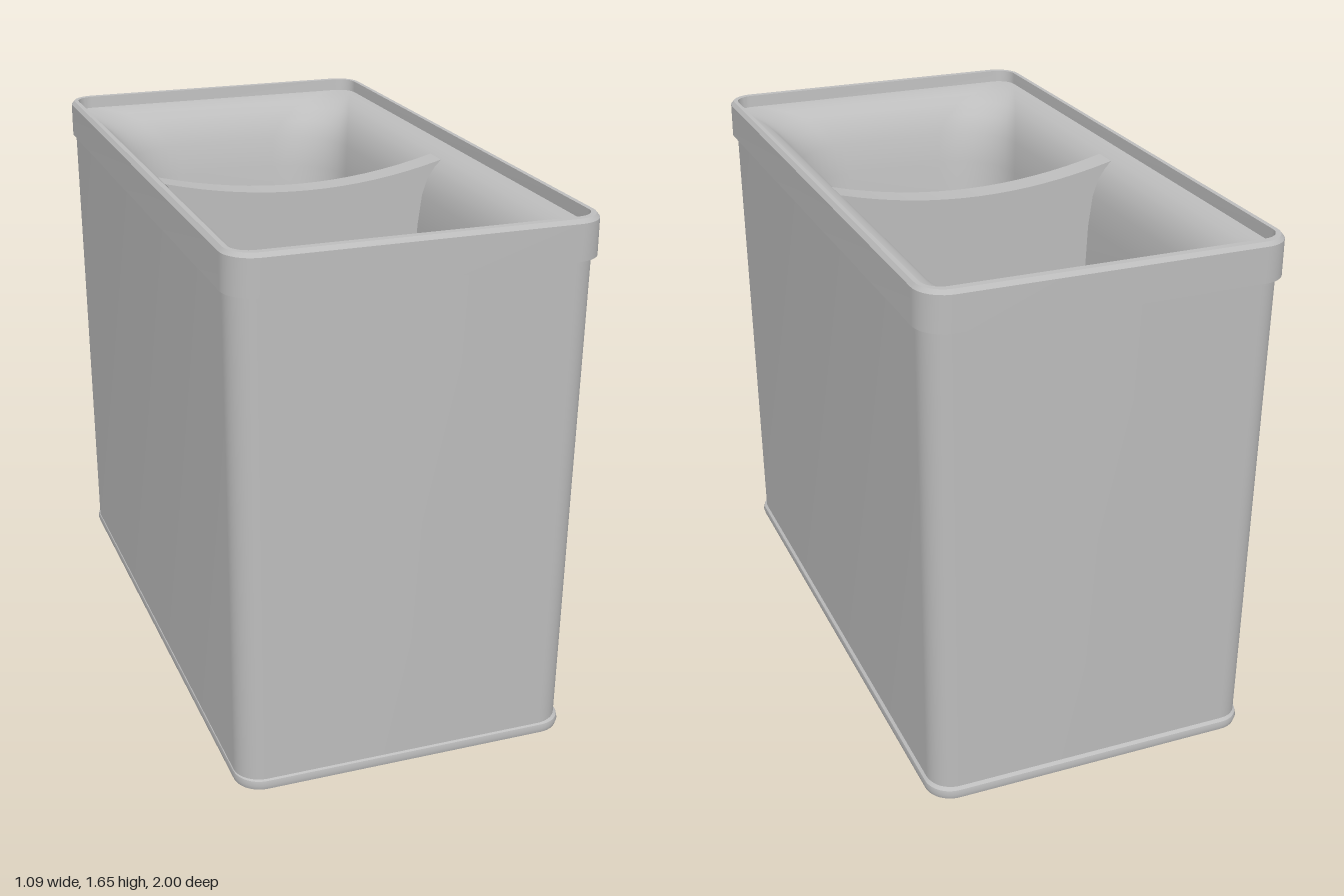
import * as THREE from 'three';
import { toCreasedNormals } from 'three/addons/utils/BufferGeometryUtils.js';

const CORNER = 10; // segments per rounded corner

// Skin rounded-rectangle sections: [y, half width, half length, corner radius, x shift, z shift]
function loft(sections) {
  const positions = [], index = [];
  const count = 4 * (CORNER + 1);
  for (const [y, w, l, r, dx = 0, dz = 0] of sections) {
    for (let c = 0; c < 4; c++) {
      const sx = c === 0 || c === 3 ? 1 : -1;
      const sz = c < 2 ? 1 : -1;
      for (let i = 0; i <= CORNER; i++) {
        const a = (c + i / CORNER) * Math.PI / 2;
        positions.push(
          dx + sx * (w - r) + r * Math.cos(a),
          y,
          dz + sz * (l - r) + r * Math.sin(a));
      }
    }
  }
  for (let s = 0; s < sections.length - 1; s++) {
    for (let i = 0; i < count; i++) {
      const j = (i + 1) % count, a = s * count, b = a + count;
      index.push(a + i, b + i, a + j, a + j, b + i, b + j);
    }
  }
  const geometry = new THREE.BufferGeometry();
  geometry.setAttribute('position', new THREE.Float32BufferAttribute(positions, 3));
  geometry.setIndex(index);
  return toCreasedNormals(geometry, 0.6);
}

export function createModel() {
  const model = new THREE.Group();
  const grey = new THREE.MeshStandardMaterial({ color: 0xbdbdbd });
  grey.name = 'grey';

  function add(name, geometry) {
    const mesh = new THREE.Mesh(geometry, grey);
    mesh.name = name;
    model.add(mesh);
  }

  // Closed foot with a softly rounded edge
  add('foot', loft([
    [0, 0, 0, 0, -0.005, 0.01],
    [0, 0.515, 0.965, 0.075, -0.005, 0.01],
    [0.006, 0.523, 0.973, 0.08, -0.005, 0.01],
    [0.02, 0.527, 0.977, 0.083, -0.005, 0.01],
    [0.034, 0.524, 0.974, 0.08, -0.005, 0.01],
    [0.042, 0.515, 0.965, 0.075, -0.005, 0.01],
  ]));

  // Slightly flared outer body
  add('body', loft([
    [0.035, 0.519, 0.967, 0.08, -0.008, 0.012],
    [0.8, 0.527, 0.972, 0.08, -0.006, 0.009],
    [1.54, 0.535, 0.978, 0.08, -0.004, 0.006],
  ]));

  // Overhanging band around the top, with a chamfered upper edge
  add('rim', loft([
    [1.53, 0.525, 0.96, 0.08],
    [1.53, 0.546, 1.0, 0.09],
    [1.638, 0.546, 1.0, 0.09],
    [1.65, 0.536, 0.99, 0.08],
    [1.65, 0.522, 0.968, 0.06],
    [1.61, 0.52, 0.964, 0.06],
  ]));

  // Dished funnel flowing into a deep basin
  const cx = -0.008, cz = -0.005;
  add('basin', loft([
    [1.612, 0.522, 0.966, 0.06],
    [1.608, 0.495, 0.94, 0.08, cx, cz],
    [1.595, 0.465, 0.91, 0.12, cx, cz],
    [1.572, 0.438, 0.88, 0.16, cx, cz],
    [1.535, 0.413, 0.852, 0.19, cx, cz],
    [1.48, 0.395, 0.828, 0.21, cx, cz],
    [1.38, 0.382, 0.803, 0.21, cx, cz],
    [1.1, 0.37, 0.765, 0.19, cx, cz],
    [0.75, 0.36, 0.725, 0.17, cx, cz],
    [0.48, 0.35, 0.69, 0.15, cx, cz],
    [0.38, 0.335, 0.66, 0.14, cx, cz],
    [0.32, 0.3, 0.61, 0.12, cx, cz],
    [0.3, 0.24, 0.54, 0.1, cx, cz],
    [0.3, 0, 0, 0, cx, cz],
  ]));

  // Partition with a sagging top edge, tucked into the basin walls
  const panel = new THREE.Shape();
  panel.moveTo(-0.36, 0.3);
  panel.lineTo(0.345, 0.3);
  panel.lineTo(0.375, 1.3);
  panel.quadraticCurveTo(0.385, 1.53, 0.45, 1.592);
  panel.quadraticCurveTo(0, 1.47, -0.465, 1.592);
  panel.quadraticCurveTo(-0.4, 1.53, -0.39, 1.3);
  const divider = new THREE.ExtrudeGeometry(panel, {
    depth: 0.084, bevelEnabled: false, curveSegments: 16,
  });
  divider.translate(0, 0, -0.02);
  add('divider', toCreasedNormals(divider, 0.6));

  return model;
}
